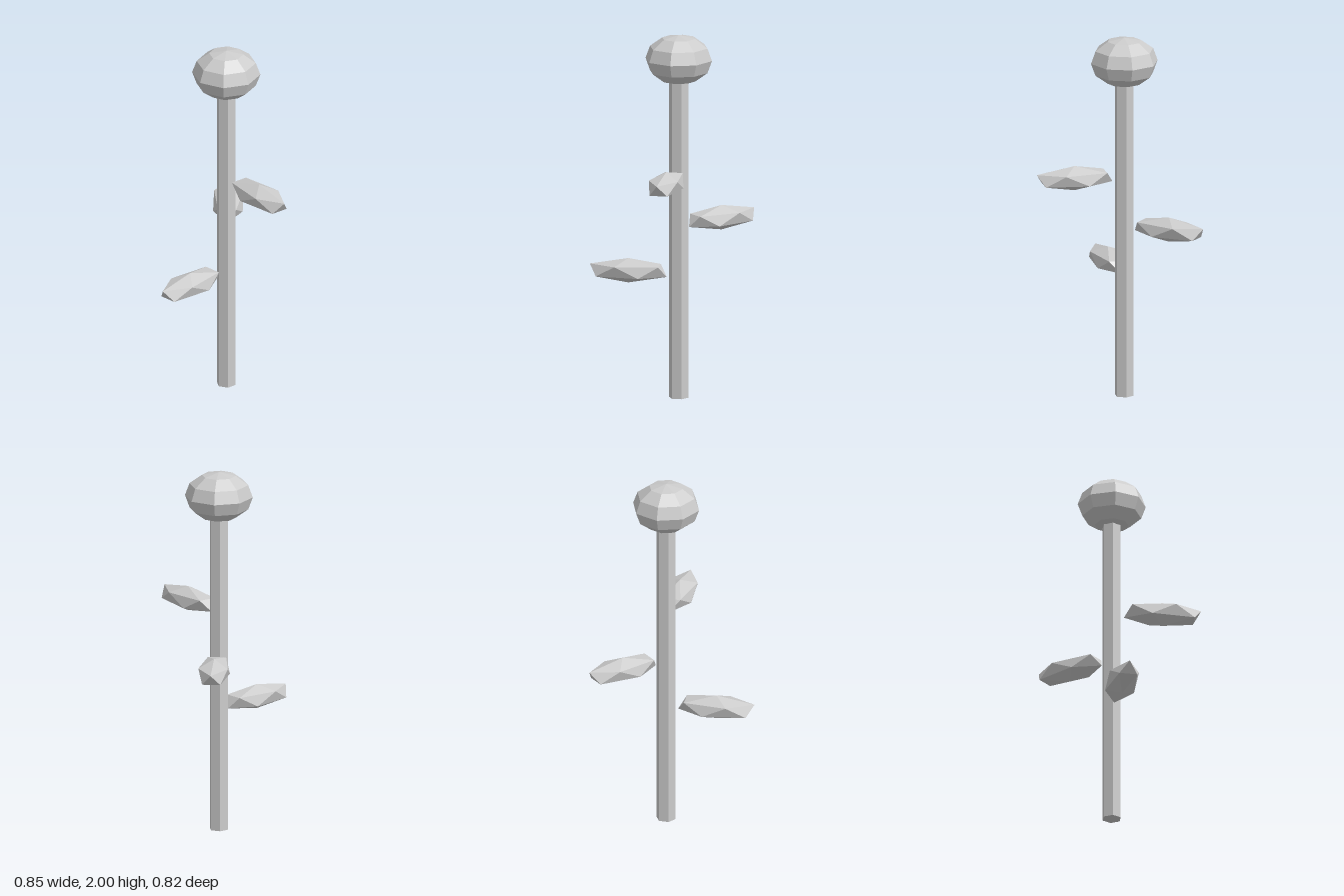
import * as THREE from 'three';

const STEM_X = -0.065, STEM_Z = -0.073;

export function createModel() {
  const model = new THREE.Group();
  model.name = 'plant';
  const material = new THREE.MeshStandardMaterial({ color: 0xcccccc, flatShading: true });

  const add = (name, geometry, y) => {
    const mesh = new THREE.Mesh(geometry, material);
    mesh.name = name;
    mesh.position.set(STEM_X, y, STEM_Z);
    model.add(mesh);
    return mesh;
  };

  // Hexagonal stem, its top hidden inside the flower head
  add('stem', new THREE.CylinderGeometry(0.053, 0.053, 1.8, 6), 0.9);

  // Flattened round flower head
  add('flowerHead', new THREE.SphereGeometry(0.185, 8, 6).scale(1, 0.73, 1), 1.865);

  // Leaf: icosahedron turned point-up with an upper corner towards +x, then stretched
  const golden = (1 + Math.sqrt(5)) / 2;
  const leaf = new THREE.IcosahedronGeometry(1, 0)
    .rotateX(-Math.atan(golden))
    .rotateY(Math.PI / 2)
    .scale(0.235, 0.0675, 0.094)
    .translate(0.276, 0, 0);

  // Three leaves spiral down the stem by the golden angle
  for (let i = 0; i < 3; i++) {
    add(`leaf${i + 1}`, leaf, 1.232 - i * 0.27).rotation.y = i * THREE.MathUtils.degToRad(137.5);
  }
  return model;
}
